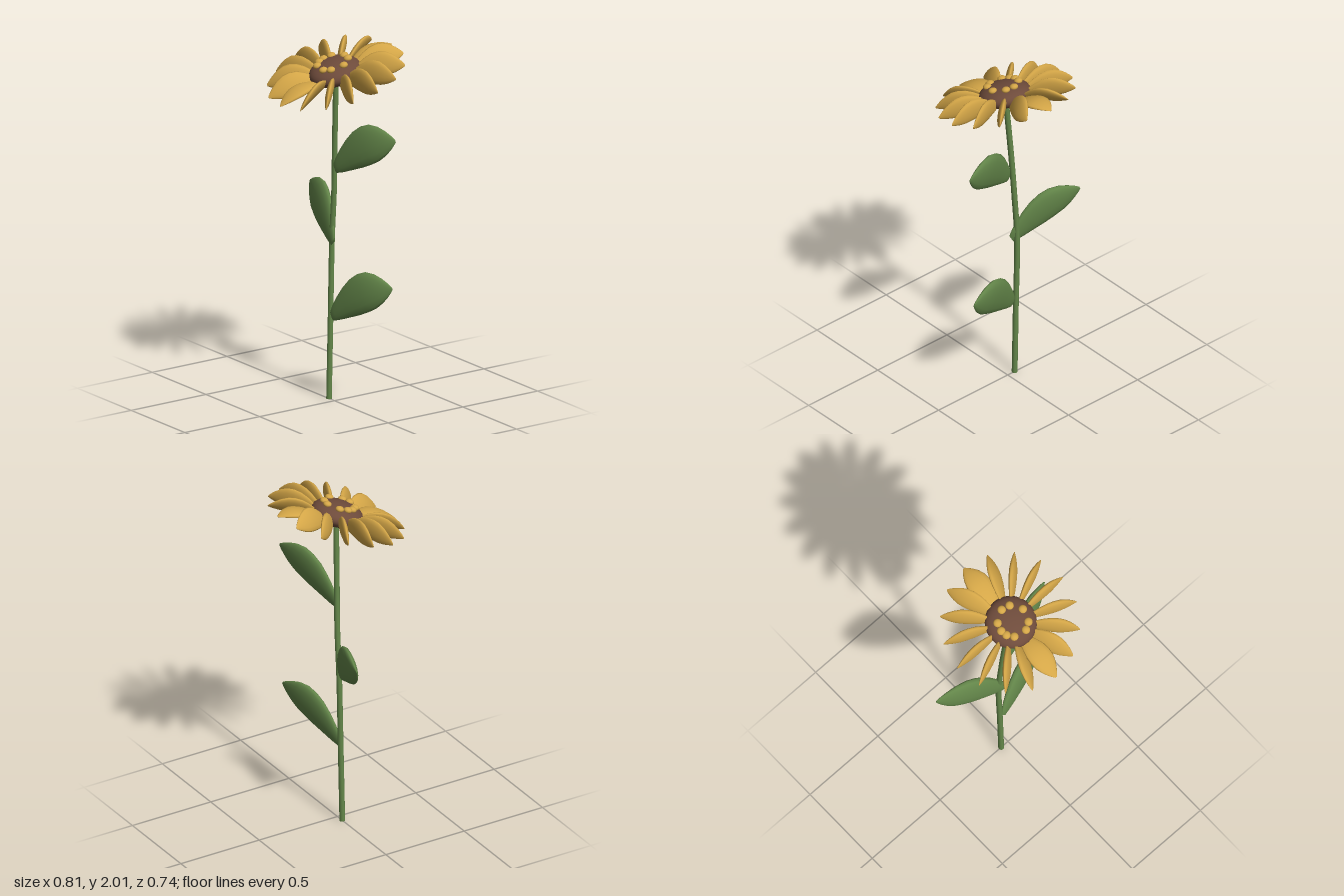
import * as THREE from 'three';

const material = (name, color) => {
  const m = new THREE.MeshStandardMaterial({ color });
  m.name = name;
  return m;
};

// Blade profile: position along the length, half width (fractions of the length)
const PROFILE = [
  [0, 0], [0, 0.06], [0.06, 0.1], [0.13, 0.135], [0.25, 0.182], [0.38, 0.22], [0.52, 0.235],
  [0.65, 0.225], [0.78, 0.178], [0.88, 0.118], [0.95, 0.065], [1, 0.02], [1, 0],
];
const THICKNESS = 0.28; // relative to the width
const BOW = 0.105;      // upward arch, relative to the length
const SIDES = 14;

// Arched, pointed blade running from base along the vector span; its width lies in the xy plane
function blade(base, span) {
  const length = span.length();
  const dir = span.clone().normalize();
  const wide = new THREE.Vector3().crossVectors(dir, new THREE.Vector3(0, 0, 1)).normalize();
  const thin = new THREE.Vector3().crossVectors(dir, wide);
  const positions = [], index = [];
  PROFILE.forEach(([s, w], i) => {
    for (let j = 0; j < SIDES; j++) {
      const a = (j / SIDES) * Math.PI * 2;
      const p = base.clone().addScaledVector(span, s)
        .addScaledVector(wide, Math.cos(a) * w * length)
        .addScaledVector(thin, Math.sin(a) * w * length * THICKNESS);
      p.y += BOW * length * 4 * s * (1 - s);
      positions.push(p.x, p.y, p.z);
      if (i === PROFILE.length - 1) continue;
      const k = (j + 1) % SIDES;
      const r = i * SIDES, n = r + SIDES;
      index.push(r + j, r + k, n + k, r + j, n + k, n + j);
    }
  });
  const g = new THREE.BufferGeometry();
  g.setAttribute('position', new THREE.Float32BufferAttribute(positions, 3));
  g.setIndex(index);
  g.computeVertexNormals();
  return g;
}

export function createModel() {
  const green = material('leaf green', 0x64874a);
  const gold = material('petal gold', 0xd4a647);
  const brown = material('seed brown', 0x6e4b3b);
  const model = new THREE.Group();
  const add = (parent, name, geometry, mat) => {
    const mesh = new THREE.Mesh(geometry, mat);
    mesh.name = name;
    parent.add(mesh);
    return mesh;
  };

  // Stem, gently curved, with a closed foot
  const path = new THREE.CatmullRomCurve3([
    [-0.05, 0, 0], [-0.05, 0.45, -0.01], [-0.05, 0.9, -0.02],
    [-0.03, 1.2, -0.02], [-0.015, 1.45, -0.013], [0.015, 1.85, 0],
  ].map((p) => new THREE.Vector3(...p)));
  add(model, 'stem', new THREE.TubeGeometry(path, 40, 0.016, 10), green);
  const foot = add(model, 'stemFoot', new THREE.CircleGeometry(0.016, 10), green);
  foot.rotation.x = Math.PI / 2;
  foot.position.set(-0.05, 0.0005, 0);

  // Leaves, alternating sides
  [[-0.03, 0.475, 1], [-0.022, 0.9, -1], [0, 1.322, 1]].forEach(([x, y, side]) => {
    const base = new THREE.Vector3(x, y, -0.005);
    const span = new THREE.Vector3(0.385 * side, 0.228, -0.125);
    add(model, side > 0 ? 'leftLeaf' : 'rightLeaf', blade(base, span), green);
  });

  // Flower head, tilted towards the front
  const tilt = 0.29;
  const centre = new THREE.Vector3(0.015, 1.855, 0);
  const petals = new THREE.Group();
  petals.name = 'petals';
  petals.position.copy(centre);
  model.add(petals);
  for (let i = 0; i < 16; i++) {
    const a = (i / 16) * Math.PI * 2;
    const dir = new THREE.Vector3(Math.sin(a), 0, Math.cos(a))
      .applyAxisAngle(new THREE.Vector3(1, 0, 0), tilt);
    add(petals, 'petal', blade(dir.clone().multiplyScalar(0.1), dir.clone().multiplyScalar(0.288)), gold);
  }

  const head = new THREE.Group();
  head.name = 'flowerHead';
  head.position.copy(centre);
  head.rotation.x = tilt;
  model.add(head);
  const disc = add(head, 'seedDisc', new THREE.SphereGeometry(0.145, 28, 18), brown);
  disc.scale.y = 0.45;
  disc.position.y = 0.025;

  // Florets in an uneven ring, angles in degrees from the front
  [16, 47, 99, 151, 185, 238, 270, 294, 324].forEach((deg) => {
    const a = THREE.MathUtils.degToRad(deg);
    const floret = add(head, 'floret', new THREE.SphereGeometry(0.024, 14, 10), gold);
    floret.position.set(Math.sin(a) * 0.086, 0.08, Math.cos(a) * 0.086);
    floret.scale.y = 0.7;
  });
  return model;
}
